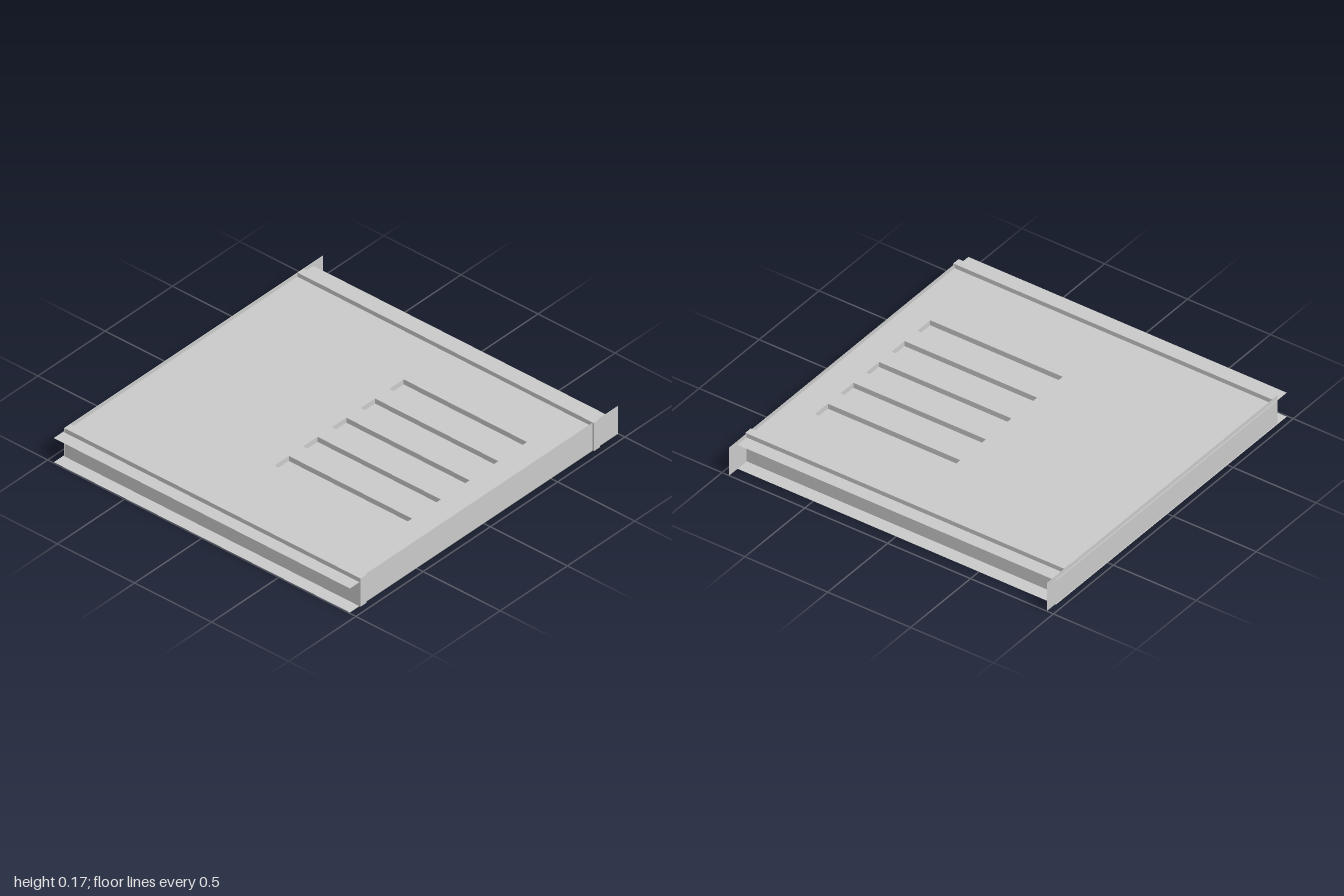
import * as THREE from 'three';

const H = 0.17;        // height of the walls
const DECK = 0.145;    // height of the upper sheet
const RECESS = 0.03;   // depth of the slots
const X0 = -0.965, X1 = 0.957, Z0 = -0.93, Z1 = 0.995;

const material = new THREE.MeshStandardMaterial({ color: 0xcccccc, side: THREE.DoubleSide });

function add(parent, name, geometry, x = 0, y = 0, z = 0) {
  const mesh = new THREE.Mesh(geometry, material);
  mesh.name = name;
  mesh.position.set(x, y, z);
  parent.add(mesh);
  return mesh;
}

// Flat rectangle outline in (x, -z), so that it faces up once laid down
function outline(Type, x0, x1, z0, z1) {
  return new Type([[x0, -z1], [x1, -z1], [x1, -z0], [x0, -z0]].map(([x, y]) => new THREE.Vector2(x, y)));
}

function sheet(shape) {
  return new THREE.ShapeGeometry(shape).rotateX(-Math.PI / 2);
}

export function createModel() {
  const model = new THREE.Group();
  model.name = 'ventedTray';

  // Upper sheet with five sunken slots
  const deck = outline(THREE.Shape, X0, X1, Z0, Z1);
  const slots = new THREE.Group();
  slots.name = 'ventSlots';
  model.add(slots);
  const length = 0.8, width = 0.107;
  for (let i = 0; i < 5; i++) {
    const z = -0.448 + i * 0.2135, a = z - width / 2, b = z + width / 2;
    deck.holes.push(outline(THREE.Path, 0, length, a, b));
    const y = DECK - RECESS / 2;
    add(slots, 'slotFloor', sheet(outline(THREE.Shape, 0, length, a, b)), 0, DECK - RECESS, 0);
    add(slots, 'slotBackSide', new THREE.PlaneGeometry(length, RECESS), length / 2, y, a);
    add(slots, 'slotFrontSide', new THREE.PlaneGeometry(length, RECESS).rotateY(Math.PI), length / 2, y, b);
    add(slots, 'slotRightEnd', new THREE.PlaneGeometry(width, RECESS).rotateY(Math.PI / 2), 0, y, z);
    add(slots, 'slotLeftEnd', new THREE.PlaneGeometry(width, RECESS).rotateY(-Math.PI / 2), length, y, z);
  }
  add(model, 'topSheet', sheet(deck), 0, DECK, 0);

  // Lower sheet, facing down
  const bottom = new THREE.PlaneGeometry(X1 - X0, Z1 - Z0).rotateX(Math.PI / 2);
  add(model, 'bottomSheet', bottom, (X0 + X1) / 2, 0, (Z0 + Z1) / 2);

  // Thin side walls running past the back wall
  for (const [name, x, turn] of [['leftWall', 0.957, 1], ['rightWall', -0.96, -1]]) {
    add(model, name, new THREE.PlaneGeometry(1.925, H).rotateY(turn * Math.PI / 2), x, H / 2, -0.0375);
  }

  // Cross walls standing through the upper sheet
  for (const [name, z] of [['frontWall', 0.902], ['backWall', -0.832]]) {
    add(model, name, new THREE.BoxGeometry(1.923, H - 0.001, 0.045), 0.0035, H / 2 + 0.0005, z);
  }
  return model;
}
